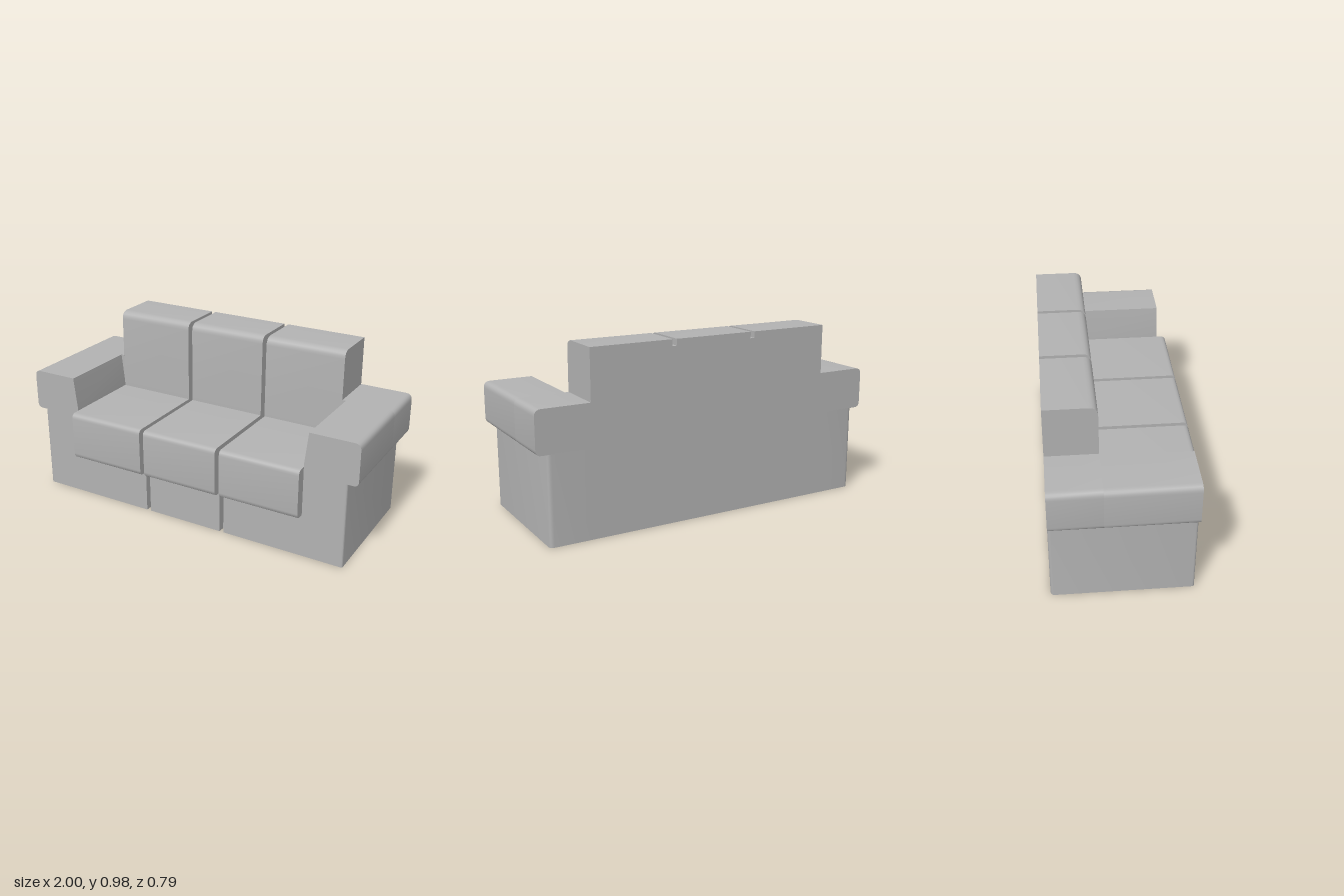
import * as THREE from 'three';
import { toCreasedNormals } from 'three/addons/utils/BufferGeometryUtils.js';

const BACK = -0.395, FRONT = 0.34, INNER = 0.707;

// Closed outline from [x, y, cornerRadius] points
function outline(points) {
  const shape = new THREE.Shape();
  const n = points.length;
  points.forEach(([x, y, r = 0], i) => {
    const p = new THREE.Vector2(x, y);
    const toward = (q) => p.clone().add(new THREE.Vector2(q[0] - x, q[1] - y).setLength(r));
    const a = r ? toward(points[(i + n - 1) % n]) : p;
    if (i === 0) shape.moveTo(a.x, a.y);
    else shape.lineTo(a.x, a.y);
    if (r) {
      const b = toward(points[(i + 1) % n]);
      shape.quadraticCurveTo(x, y, b.x, b.y);
    }
  });
  shape.closePath();
  return shape;
}

function extrude(points, depth) {
  return new THREE.ExtrudeGeometry(outline(points), { depth, bevelEnabled: false, curveSegments: 5 });
}

export function createModel() {
  const sofa = new THREE.Group();
  sofa.name = 'sofa';
  const fabric = new THREE.MeshStandardMaterial({ color: 0xb2b2b2 });
  fabric.name = 'grey fabric';

  const add = (name, geometry) => {
    const mesh = new THREE.Mesh(toCreasedNormals(geometry, 0.6), fabric);
    mesh.name = name;
    sofa.add(mesh);
  };

  // Side profile (z, y) swept across x
  const sweepX = (name, profile, x0, x1) =>
    add(name, extrude(profile, x1 - x0).rotateY(-Math.PI / 2).translate(x1, 0, 0));

  // Three seat sections: base panel, seat cushion and back cushion
  const section = [
    [BACK, 0], [FRONT, 0], [FRONT, 0.24],
    [0.395, 0.24, 0.03], [0.395, 0.515, 0.03],
    [-0.123, 0.515], [-0.128, 0.98, 0.045], [BACK, 0.98],
  ];
  sweepX('rightSection', section, -INNER, -0.25);
  sweepX('middleSection', section, -0.225, 0.225);
  sweepX('leftSection', section, 0.25, INNER);

  // Recessed strips at the bottom of the grooves
  const groove = [
    [BACK, 0], [0.3, 0], [0.3, 0.24], [0.355, 0.28, 0.02], [0.355, 0.475, 0.03],
    [-0.17, 0.475], [-0.175, 0.945, 0.03], [BACK, 0.945],
  ];
  sweepX('rightGroove', groove, -0.25, -0.225);
  sweepX('leftGroove', groove, 0.225, 0.25);

  // Arms: upright post, overhanging roll with sloped inner face, filler beside the back
  for (const [side, s] of [['left', 1], ['right', -1]]) {
    const flip = (pts) => pts.map(([x, y, r]) => [x * s, y, r]);

    const post = flip([[INNER, BACK], [0.943, BACK, 0.025], [0.943, FRONT, 0.012], [INNER, FRONT]]);
    add(side + 'ArmPost', extrude(post, 0.48).rotateX(Math.PI / 2).translate(0, 0.48, 0));

    const roll = (topInner) => flip([
      [INNER, 0.478], [1, 0.478, 0.03], [1, 0.708, 0.035], [topInner, 0.708], [INNER, 0.53],
    ]);
    add(side + 'ArmRoll', extrude(roll(0.727), FRONT + 0.125).translate(0, 0, -0.125));
    add(side + 'ArmRollBack', extrude(roll(INNER), -0.125 - BACK).translate(0, 0, BACK));
  }
  return sofa;
}
